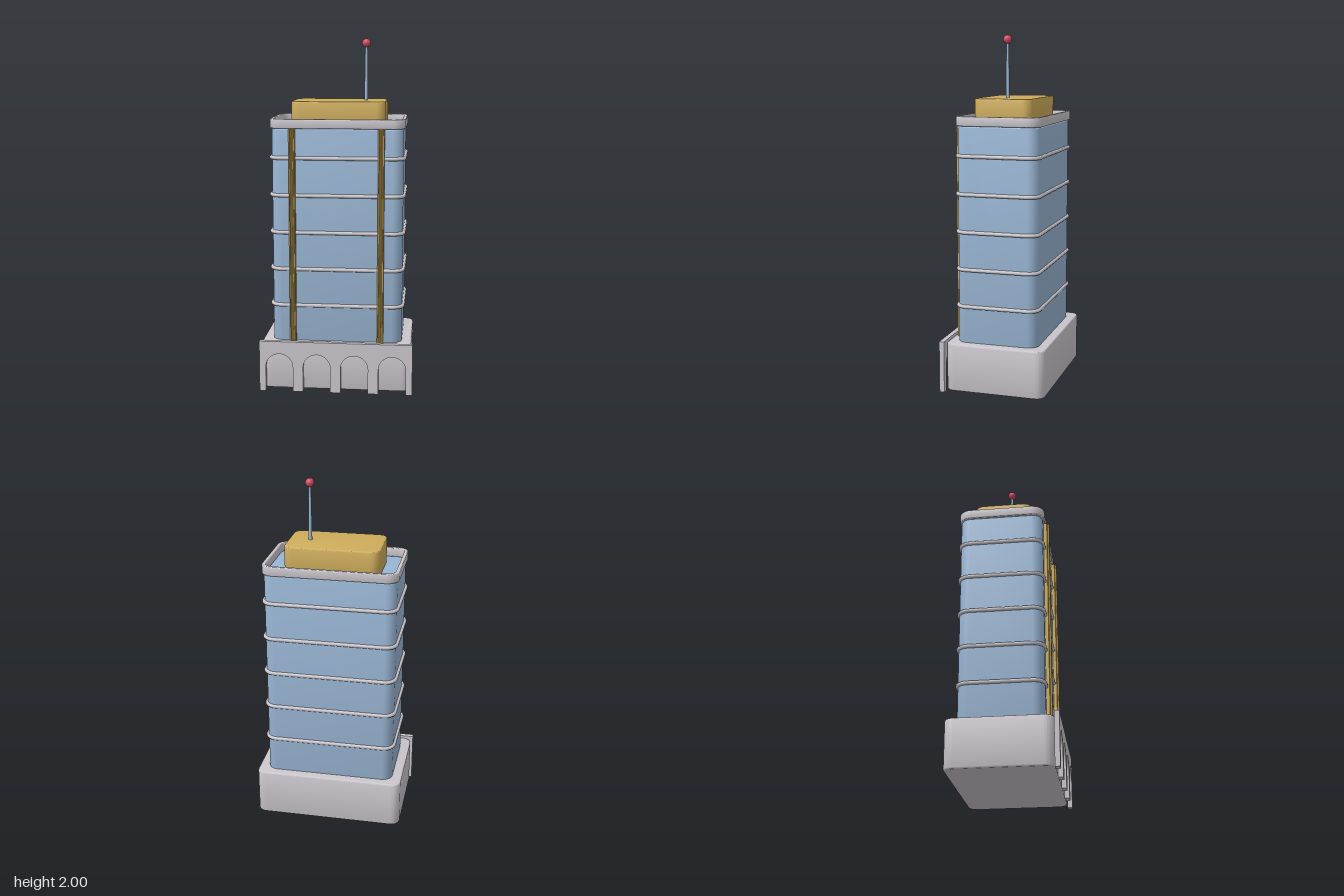
import * as THREE from 'three';
import { toCreasedNormals } from 'three/addons/utils/BufferGeometryUtils.js';

const CZ = -0.016; // depth centre of the tower

const material = (name, color) => {
  const m = new THREE.MeshStandardMaterial({ color });
  m.name = name;
  return m;
};

// Rounded rectangle outline from half sizes and corner radius
function roundedRect(a, b, r, Kind = THREE.Shape) {
  const s = new Kind();
  s.moveTo(-a + r, -b);
  s.lineTo(a - r, -b);
  s.absarc(a - r, -b + r, r, -Math.PI / 2, 0);
  s.lineTo(a, b - r);
  s.absarc(a - r, b - r, r, 0, Math.PI / 2);
  s.lineTo(-a + r, b);
  s.absarc(-a + r, b - r, r, Math.PI / 2, Math.PI);
  s.lineTo(-a, -b + r);
  s.absarc(-a + r, -b + r, r, Math.PI, Math.PI * 1.5);
  return s;
}

// Upright extrusion of a plan outline from y0 to y1, with softened edges
function upright(shape, y0, y1, bevel) {
  const g = new THREE.ExtrudeGeometry(shape, {
    depth: y1 - y0 - 2 * bevel, curveSegments: 10, bevelEnabled: bevel > 0,
    bevelThickness: bevel, bevelSize: bevel, bevelOffset: -bevel, bevelSegments: 3,
  });
  g.rotateX(-Math.PI / 2).translate(0, y0 + bevel, 0);
  return toCreasedNormals(g, 0.6);
}

export function createModel() {
  const group = new THREE.Group();
  const stone = material('pale stone', 0xcac6cc);
  const glass = material('blue glass', 0x99b6d4);
  const gold = material('gold', 0xcfad5b);
  const red = material('beacon red', 0xcf4a62);

  const add = (name, geometry, mat, x = 0, y = 0, z = 0) => {
    const mesh = new THREE.Mesh(geometry, mat);
    mesh.name = name;
    mesh.position.set(x, y, z);
    group.add(mesh);
    return mesh;
  };

  // Podium
  add('podium', upright(roundedRect(0.428, 0.287, 0.05), 0.01, 0.283, 0.008), stone, 0, 0, -0.017);

  // Arcade screen: one outline that dips up into four open arches
  const arcade = new THREE.Shape();
  const archR = 0.078, spring = 0.144;
  arcade.moveTo(-0.438, 0);
  arcade.lineTo(-0.438, 0.295);
  arcade.lineTo(0.438, 0.295);
  arcade.lineTo(0.438, 0);
  for (let i = 3; i >= 0; i--) {
    const x = (i - 1.5) * 0.2153;
    arcade.lineTo(x + archR, 0);
    arcade.lineTo(x + archR, spring);
    arcade.absarc(x, spring, archR, 0, Math.PI, false);
    arcade.lineTo(x - archR, 0);
  }
  const arcadeGeo = new THREE.ExtrudeGeometry(arcade, { depth: 0.028, bevelEnabled: false, curveSegments: 20 });
  add('arcade', toCreasedNormals(arcadeGeo, 0.6), stone, 0, 0, 0.272);

  // Glass tower
  add('tower', upright(roundedRect(0.372, 0.235, 0.06), 0.275, 1.505, 0.008), glass, 0, 0, CZ);

  // Floor bands around the tower
  const outline = roundedRect(0.376, 0.236, 0.06).getSpacedPoints(120).slice(0, -1);
  const loop = new THREE.CatmullRomCurve3(outline.map(p => new THREE.Vector3(p.x, 0, p.y)), true);
  const bandGeo = new THREE.TubeGeometry(loop, 160, 0.011, 10, true);
  for (let i = 0; i < 5; i++) add('floorBand', bandGeo, stone, 0, 0.492 + i * 0.212, CZ);

  // Parapet ring
  const ring = roundedRect(0.383, 0.245, 0.07);
  ring.holes.push(roundedRect(0.361, 0.222, 0.05, THREE.Path));
  add('parapet', upright(ring, 1.505, 1.558, 0.005), stone, 0, 0, CZ);

  // Penthouse
  add('penthouse', upright(roundedRect(0.268, 0.167, 0.05), 1.5, 1.652, 0.007), gold, 0, 0, CZ);

  // Fluted gold fins on the front
  const fin = new THREE.Shape([
    [-0.018, 0.03], [-0.018, -0.014], [-0.013, -0.018], [-0.012, -0.026], [-0.008, -0.028], [-0.005, -0.024],
    [-0.002, -0.028], [0.002, -0.028], [0.005, -0.024], [0.008, -0.028], [0.012, -0.026],
    [0.013, -0.018], [0.018, -0.014], [0.018, 0.03],
  ].map(([x, y]) => new THREE.Vector2(x, y)));
  const finGeo = upright(fin, 0.28, 1.503, 0);
  for (const side of [-1, 1]) add('fin', finGeo, gold, side * 0.25, 0, 0.224);

  // Antenna and beacon
  add('antenna', new THREE.CylinderGeometry(0.007, 0.011, 0.33, 20), glass, 0.148, 1.81, CZ);
  add('beacon', new THREE.SphereGeometry(0.025, 28, 18), red, 0.148, 1.975, CZ);

  return group;
}
